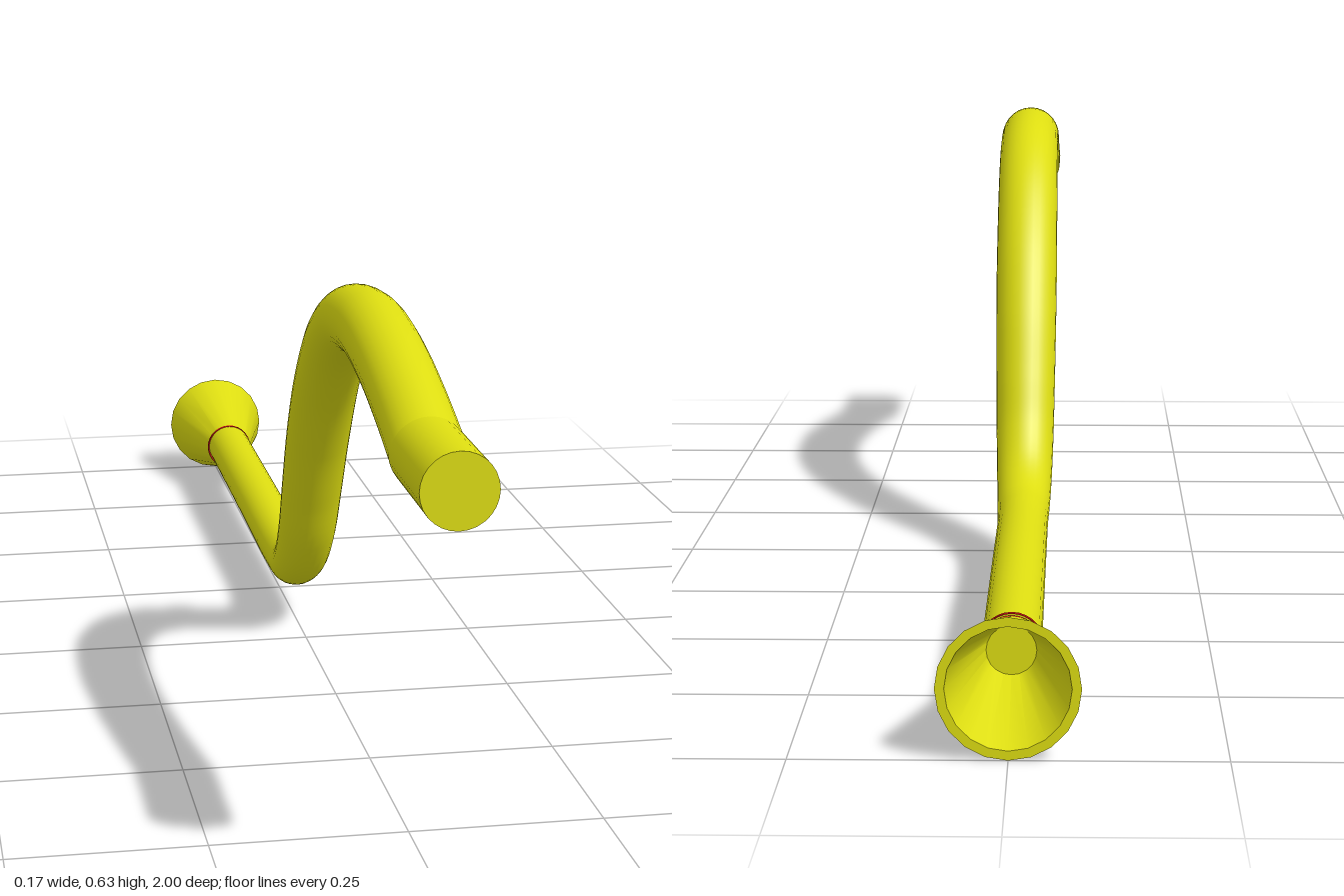
import * as THREE from 'three';
import { toCreasedNormals } from 'three/addons/utils/BufferGeometryUtils.js';

const yellow = new THREE.MeshStandardMaterial({ color: 0xdddd11 });
const red = new THREE.MeshStandardMaterial({ color: 0xcc1111 });

// Pipe centre line as [z, y], from the front bend to the neck of the bell
const PATH = [
  [0.835, 0.508], [0.75, 0.536], [0.65, 0.563], [0.55, 0.58], [0.47, 0.583],
  [0.36, 0.567], [0.26, 0.519], [0.17, 0.437], [0.1, 0.34], [0.05, 0.25],
  [0.01, 0.178], [-0.04, 0.123], [-0.1, 0.092], [-0.17, 0.083], [-0.45, 0.085], [-0.83, 0.087],
];

// Tube that narrows from the curved part to the straight part
function taperedTube(curve, rings, sides) {
  const geo = new THREE.TubeGeometry(curve, rings, 1, sides);
  const pos = geo.attributes.position;
  const v = new THREE.Vector3();
  for (let i = 0; i <= rings; i++) {
    const c = curve.getPointAt(i / rings);
    const r = THREE.MathUtils.lerp(0.036, 0.046, THREE.MathUtils.smoothstep(c.z, -0.2, 0.15));
    for (let j = 0; j <= sides; j++) {
      const k = i * (sides + 1) + j;
      v.fromBufferAttribute(pos, k).sub(c).multiplyScalar(r).add(c);
      pos.setXYZ(k, v.x, v.y, v.z);
    }
  }
  return geo;
}

export function createModel() {
  const model = new THREE.Group();
  const add = (name, geo, material, y = 0, z = 0) => {
    const mesh = new THREE.Mesh(geo, material);
    mesh.name = name;
    mesh.position.set(0, y, z);
    model.add(mesh);
  };

  // Curved and straight pipe
  const curve = new THREE.CatmullRomCurve3(PATH.map(([z, y]) => new THREE.Vector3(0, y, z)));
  add('pipe', taperedTube(curve, 120, 28), yellow);

  // Straight closed front end
  const end = new THREE.CylinderGeometry(0.046, 0.046, 0.17, 28).rotateX(Math.PI / 2);
  add('frontEnd', end, yellow, 0.508, 0.915);

  // Hollow flared bell, opening backwards
  const profile = [
    [0, 0], [0.036, 0], [0.083, 0.18], [0.072, 0.18], [0.03, 0.02], [0, 0.02],
  ].map(([r, h]) => new THREE.Vector2(r, h));
  const bell = new THREE.LatheGeometry(profile, 20).rotateX(-Math.PI / 2);
  add('bell', toCreasedNormals(bell, 0.6), yellow, 0.0835, -0.82);

  // Thin red ring at the neck of the bell
  const ring = new THREE.CylinderGeometry(0.038, 0.038, 0.007, 28).rotateX(Math.PI / 2);
  add('neckRing', ring, red, 0.0855, -0.819);

  return model;
}
